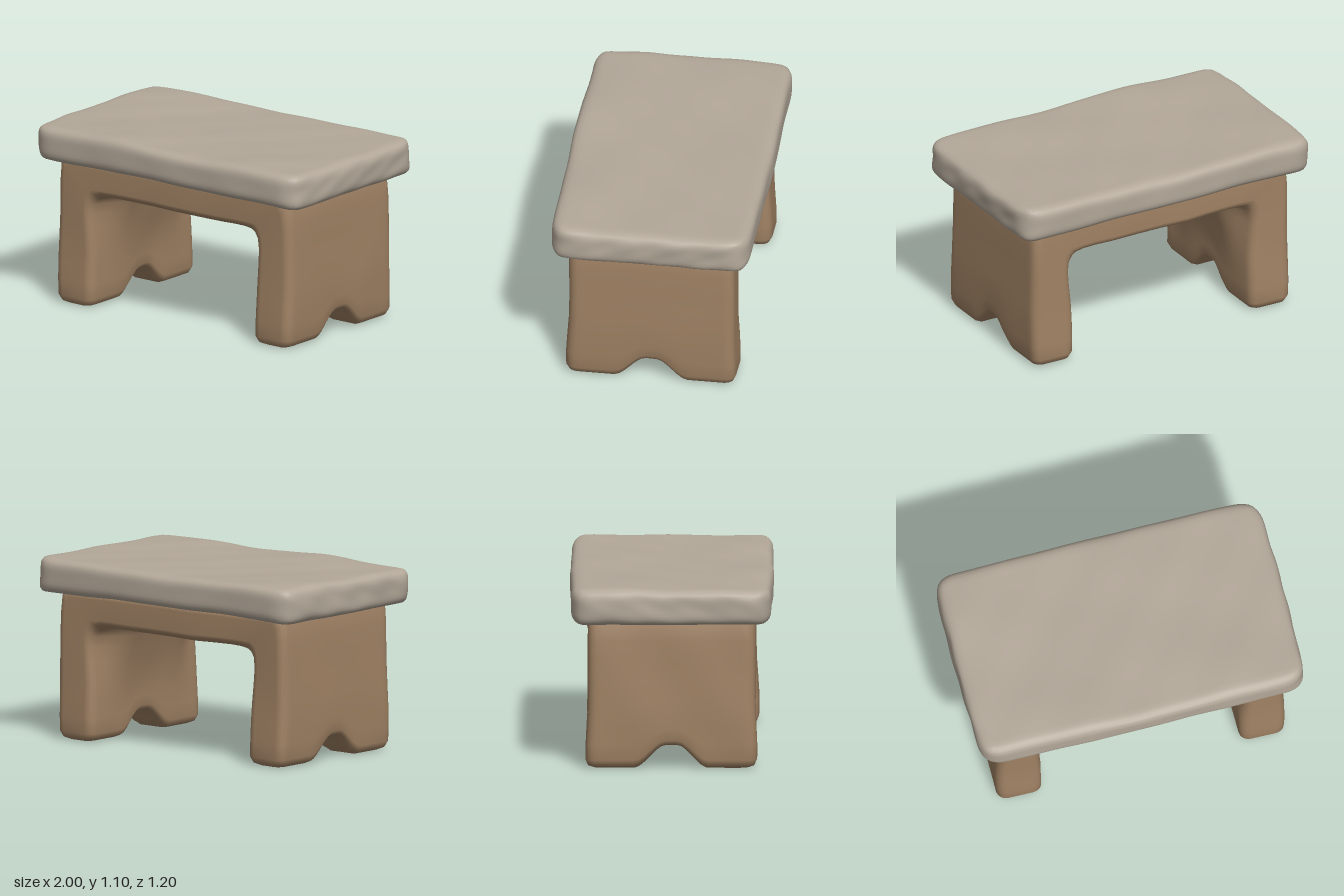
import * as THREE from 'three';
import { mergeVertices } from 'three/addons/utils/BufferGeometryUtils.js';

const { lerp, clamp, smoothstep } = THREE.MathUtils;

// gentle hand-carved unevenness
const wobble = (x, y, z) =>
  0.5 * Math.sin(7 * x + 3 * z + 1) + 0.3 * Math.sin(11 * z - 5 * x + 6 * y) + 0.2 * Math.sin(15 * x + 9 * y + 13 * z);

const bump = (x, z, cx, cz, w) => Math.exp(-((x - cx) ** 2 + (z - cz) ** 2) / (w * w));

// thick stone slab with rounded edges and an uneven top
function slabGeometry() {
  const half = [0.985, 0.1, 0.585], r = 0.055;
  let geo = new THREE.BoxGeometry(1.97, 0.2, 1.17, 60, 10, 40);
  geo.deleteAttribute('normal');
  geo.deleteAttribute('uv');
  geo = mergeVertices(geo, 1e-4);
  const pos = geo.attributes.position;
  const p = new THREE.Vector3(), core = new THREE.Vector3();
  for (let i = 0; i < pos.count; i++) {
    p.fromBufferAttribute(pos, i);
    core.set(clamp(p.x, r - half[0], half[0] - r), clamp(p.y, r - half[1], half[1] - r), clamp(p.z, r - half[2], half[2] - r));
    p.sub(core).setLength(r).add(core);
    const { x, y, z } = p;
    const up = clamp(y / 0.2 + 0.5, 0, 1);
    // plan outline: slightly bowed sides and softened corners
    const corner = smoothstep(Math.abs(x), 0.86, 1) * smoothstep(Math.abs(z), 0.46, 0.6);
    p.x = x * (1.008 - 0.02 * corner - 0.012 * (z / 0.6) ** 2) + 0.006 * wobble(y * 4, x, z * 2) * Math.abs(x);
    p.z = z * (1.02 - 0.04 * corner - 0.025 * x * x) + 0.008 * wobble(x, y * 2, z) * Math.abs(z);
    // top and bottom surfaces
    const top = 1.076 + 0.02 * bump(x, z, -0.4, 0.42, 0.3) + 0.014 * bump(x, z, 0.5, 0.42, 0.3)
      + 0.012 * bump(x, z, -0.85, -0.4, 0.35) + 0.008 * bump(x, z, 0.75, -0.45, 0.3) + 0.006 * wobble(x, 0, z);
    const bottom = 0.884 - 0.014 * x * x + 0.005 * wobble(x, 1, z);
    p.y = lerp(bottom, top, up);
    pos.setXYZ(i, p.x, p.y, p.z);
  }
  geo.computeVertexNormals();
  return geo;
}

// arch stations from the foot to the middle:
// outer x,y | inner x,y near the front and back | inner x,y at mid depth | inset, thickness scale
const stations = [
  [0.865, 0, 0.61, 0, 0.61, 0, 0.045, 0],
  [0.865, 0, 0.61, 0, 0.61, 0, 0.045, 0.66],
  [0.868, 0.014, 0.605, 0.014, 0.605, 0.014, 0.015, 0.9],
  [0.872, 0.05, 0.6, 0.05, 0.6, 0.05, 0, 1],
  [0.875, 0.14, 0.6, 0.14, 0.6, 0.14, 0, 1],
  [0.878, 0.25, 0.602, 0.25, 0.592, 0.25, 0, 1],
  [0.878, 0.38, 0.605, 0.36, 0.578, 0.36, 0, 1],
  [0.873, 0.52, 0.615, 0.48, 0.555, 0.47, 0, 1],
  [0.87, 0.64, 0.62, 0.57, 0.53, 0.55, 0, 1],
  [0.868, 0.76, 0.612, 0.63, 0.508, 0.62, 0, 1],
  [0.86, 0.86, 0.59, 0.665, 0.488, 0.66, 0, 1],
  [0.84, 0.9, 0.56, 0.682, 0.465, 0.68, 0, 1],
  [0.72, 0.9, 0.51, 0.69, 0.44, 0.688, 0, 1],
  [0.55, 0.9, 0.44, 0.692, 0.39, 0.69, 0, 1],
  [0.36, 0.9, 0.33, 0.69, 0.3, 0.69, 0, 1],
  [0.18, 0.9, 0.17, 0.688, 0.16, 0.688, 0, 1],
  [0, 0.9, 0, 0.688, 0, 0.688, 0, 1],
];

// rounded rectangle ring: s runs across the thickness, z along the depth
function ringPoints() {
  const ring = [], rs = 0.42, rz = 0.055, depth = 0.492;
  const arc = (cs, cz, a0) => {
    for (let k = 0; k <= 4; k++) {
      const a = a0 + (k / 4) * Math.PI / 2;
      ring.push([cs + rs * Math.cos(a), cz + rz * Math.sin(a)]);
    }
  };
  const flat = (s, dir) => {
    for (let k = 1; k < 28; k++) ring.push([s, dir * (depth - rz) * (k / 14 - 1)]);
  };
  flat(1, 1);
  arc(1 - rs, depth - rz, 0);
  arc(rs - 1, depth - rz, Math.PI / 2);
  flat(-1, -1);
  arc(rs - 1, rz - depth, Math.PI);
  arc(1 - rs, rz - depth, Math.PI * 1.5);
  return ring;
}

// two slab legs and the beam between them, lofted as one arch
function archGeometry() {
  const ring = ringPoints(), n = ring.length;
  const path = [
    ...stations.map((s) => [1, s]),
    ...stations.slice(0, -1).reverse().map((s) => [-1, s]),
  ];
  const verts = [], index = [];
  for (const [side, [ox, oy, fx, fy, mx, my, inset, thick]] of path) {
    for (const [s0, z0] of ring) {
      const s = s0 * thick;
      let z = z0 * (1 - inset / 0.49);
      const mid = 1 - smoothstep(Math.abs(z), 0.2, 0.47);
      const t = (1 + s) / 2;
      let x = side * lerp(ox, lerp(fx, mx, mid), t);
      let y = lerp(oy, lerp(fy, my, mid), t);
      // rounded notch under each leg
      const notch = 0.135 * (1 - smoothstep(Math.abs(z), 0.03, 0.215));
      y += notch * Math.max(0, 1 - y / 0.45);
      z *= 1 + 0.025 * (1 - smoothstep(y, 0.1, 0.4));
      const w = smoothstep(y, 0, 0.15);
      x += 0.007 * wobble(side, y, z) * w * Math.min(1, Math.abs(x) * 2);
      z += 0.008 * wobble(x, y, side * 0.5) * Math.abs(z) * 2;
      y += 0.005 * wobble(x, 0, z) * w;
      verts.push(x, y, z);
    }
  }
  for (let i = 0; i < path.length - 1; i++) {
    for (let j = 0; j < n; j++) {
      const a = i * n + j, b = i * n + (j + 1) % n;
      index.push(a, b, a + n, b, b + n, a + n);
    }
  }
  const geo = new THREE.BufferGeometry();
  geo.setAttribute('position', new THREE.Float32BufferAttribute(verts, 3));
  geo.setIndex(index);
  const merged = mergeVertices(geo, 1e-4);
  merged.computeVertexNormals();
  return merged;
}

export function createModel() {
  const stone = new THREE.MeshStandardMaterial({ color: 0xb3a899 });
  stone.name = 'stone';
  const clay = new THREE.MeshStandardMaterial({ color: 0xa08264 });
  clay.name = 'brown clay';

  const model = new THREE.Group();
  model.name = 'table';
  const slab = new THREE.Mesh(slabGeometry(), stone);
  slab.name = 'tableTop';
  const arch = new THREE.Mesh(archGeometry(), clay);
  arch.name = 'legsAndBeam';
  model.add(slab, arch);
  return model;
}
